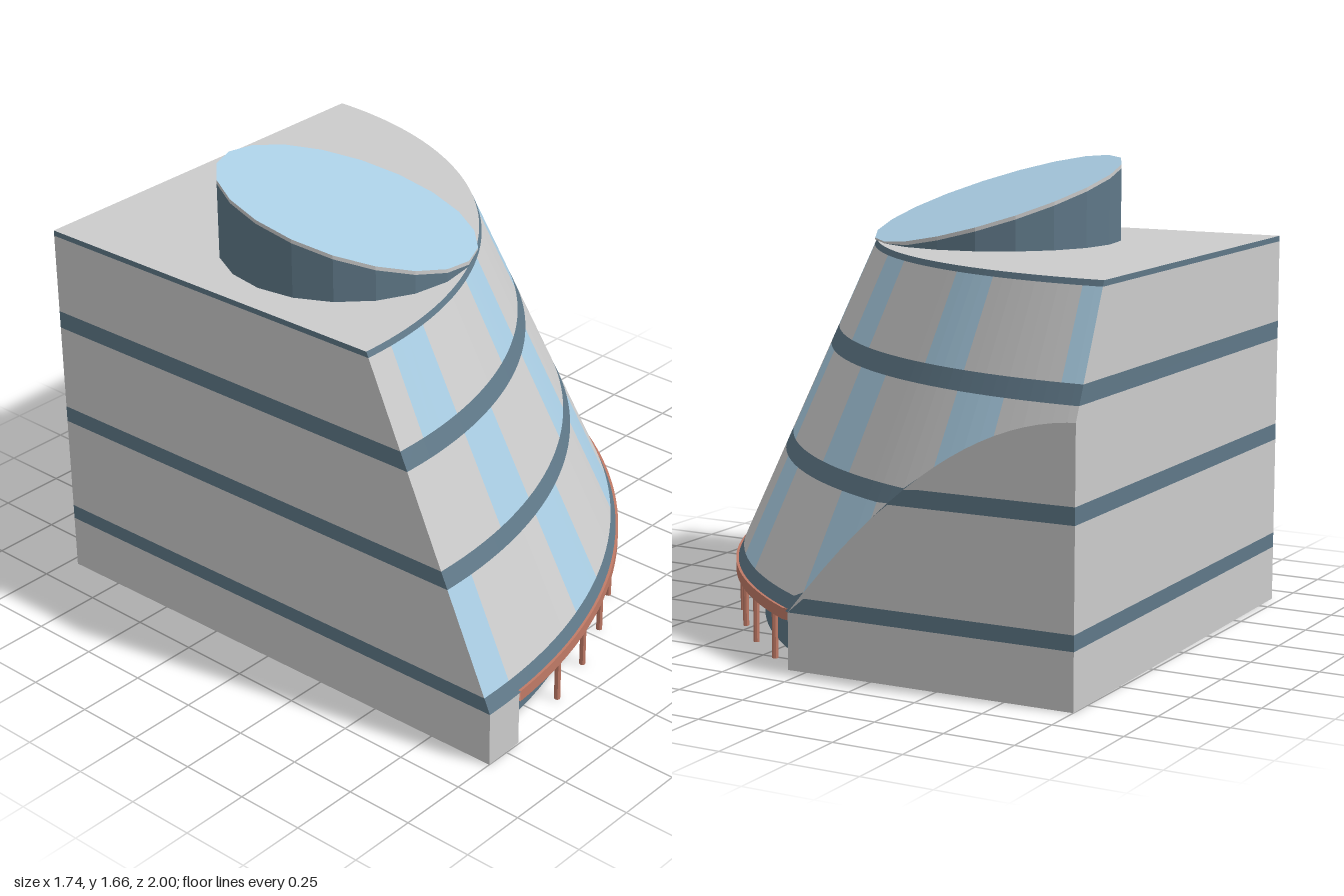
import * as THREE from 'three';

const CX = -0.82, CZ = -1;                 // axis of the quarter cone
const TOP = 1.37, EAVE = 0.2;
const CORNER = [-0.875, -0.965];           // rear corner where the two flat walls meet
const rad = THREE.MathUtils.degToRad;
const coneR = y => 2 - 0.52 * Math.max(0, y - EAVE) / (TOP - EAVE);
const wallR = a => 1.671 / (Math.sin(rad(a)) - 0.0175 * Math.cos(rad(a)));   // slicing side wall
const cutY = a => a < 57.6 ? EAVE : Math.max(EAVE, EAVE + (2 - wallR(a)) / 0.52 * (TOP - EAVE));
const polar = (a, r, y) => [CX + r * Math.sin(rad(a)), y, CZ + r * Math.cos(rad(a))];

const material = color => new THREE.MeshStandardMaterial({ color, flatShading: true, side: THREE.DoubleSide });

export function createModel() {
  const model = new THREE.Group();
  const mats = {
    grey: material(0xcccccc), slate: material(0x5f7888),
    glass: material(0xa9cde3), copper: material(0xc07a66),
  };
  const add = (name, geometry, mat) => {
    const mesh = new THREE.Mesh(geometry, mats[mat]);
    mesh.name = name;
    model.add(mesh);
    return mesh;
  };

  // Quads are gathered per part and turned into one mesh each
  const parts = {};
  const quad = (name, mat, a, b, c, d) => {
    const part = parts[name] ??= { mat, pos: [] };
    part.pos.push(...a, ...b, ...c, ...a, ...c, ...d);
  };

  // Storeys and slate bands from the ground up: [y0, y1, kind, glass offset]
  const levels = [
    [0, 0.2, 'Base'], [0.2, 0.255, 'Band'], [0.255, 0.61, 'Storey', 2],
    [0.61, 0.67, 'Band'], [0.67, 0.99, 'Storey', 1], [0.99, 1.055, 'Band'],
    [1.055, 1.35, 'Storey', 0], [1.35, TOP, 'Band'],
  ];

  // Angular divisions: four per window bay of seven degrees
  const START = 3.2, BAY = 7, SIDE = 57.67;
  const angles = [-0.8, 1.45, SIDE, 90];
  for (let a = START; a < 90; a += BAY / 4) angles.push(a);
  angles.sort((p, q) => p - q);

  // Left edge of the cone follows the slightly skewed left wall
  const leftEdge = y => [CX - 0.0556 + 0.0179 * coneR(y), y, CZ + coneR(y)];
  const conePoint = (i, y) => i === 0 ? leftEdge(y) : polar(angles[i], coneR(y), y);

  for (const [y0, y1, kind, offset] of levels) {
    const mat = kind === 'Band' ? 'slate' : 'grey';
    for (let i = 0; i < angles.length - 1; i++) {
      const a = angles[i], b = angles[i + 1], ca = cutY(a), cb = cutY(b);

      // Sloped curved facade above the cut
      if (y0 >= EAVE && (y1 > ca || y1 > cb)) {
        const cell = Math.floor(((a + b) / 2 - START) / BAY);
        const glazed = kind === 'Storey' && (cell - offset + 9) % 3 === 0;
        quad(glazed ? 'facadeGlass' : 'facade' + kind, glazed ? 'glass' : mat,
          conePoint(i, Math.max(y0, ca)), conePoint(i + 1, Math.max(y0, cb)),
          conePoint(i + 1, Math.max(y1, cb)), conePoint(i, Math.max(y1, ca)));
      }
      // Flat side wall below the cut
      if (a >= SIDE && (y0 < ca || y0 < cb)) {
        const p = (t, y) => polar(t, wallR(t), y);
        quad('sideWall' + kind, mat, p(a, Math.min(y0, ca)), p(b, Math.min(y0, cb)),
          p(b, Math.min(y1, cb)), p(a, Math.min(y1, ca)));
      }
    }

    // Flat left wall and back wall, split where the back edge starts to slope
    const knee = cutY(90);
    const steps = y0 < knee && y1 > knee ? [y0, knee, y1] : [y0, y1];
    const corner = y => [CORNER[0], y, CORNER[1]];
    const backEdge = y => [CX + Math.min(1.671, coneR(y)), y, CZ];
    for (let s = 0; s < steps.length - 1; s++) {
      const [lo, hi] = [steps[s], steps[s + 1]];
      quad('leftWall' + kind, mat, corner(lo), leftEdge(lo), leftEdge(hi), corner(hi));
      quad('backWall' + kind, mat, backEdge(lo), corner(lo), corner(hi), backEdge(hi));
    }
  }

  // Ground floor: solid end pier, then a recessed slate wall under the canopy
  const PIER = 4, INNER = 1.9;
  quad('endPier', 'grey', leftEdge(0), polar(PIER, 2, 0), polar(PIER, 2, EAVE), leftEdge(EAVE));
  quad('endPier', 'grey', polar(PIER, 2, 0), polar(PIER, INNER, 0), polar(PIER, INNER, EAVE), polar(PIER, 2, EAVE));
  const N = 32, END = 62.2;
  for (let i = 0; i < N; i++) {
    const a = PIER + (END - PIER) * i / N, b = PIER + (END - PIER) * (i + 1) / N;
    quad('recessedWall', 'slate', polar(a, INNER, 0), polar(b, INNER, 0), polar(b, INNER, EAVE), polar(a, INNER, EAVE));
    // Canopy: underside, fascia and top lip, trimmed by the side wall
    const ra = Math.min(2.005, wallR(a)), rb = Math.min(2.005, wallR(b));
    quad('canopy', 'copper', polar(b, INNER, 0.17), polar(b, rb, 0.17), polar(a, ra, 0.17), polar(a, INNER, 0.17));
    if (b < SIDE + 1) {
      quad('canopy', 'copper', polar(a, ra, 0.17), polar(b, rb, 0.17), polar(b, rb, 0.21), polar(a, ra, 0.21));
      quad('canopy', 'copper', polar(a, ra, 0.21), polar(b, rb, 0.21), polar(b, 1.98, 0.21), polar(a, 1.98, 0.21));
    }
  }
  for (let i = 0; i < 7; i++) {
    const post = add('canopyPost', new THREE.CylinderGeometry(0.011, 0.011, 0.17, 8), 'copper');
    post.position.set(...polar(12.5 + 6.74 * i, 1.98, 0.085));
  }

  for (const [name, { mat, pos }] of Object.entries(parts)) {
    const geometry = new THREE.BufferGeometry();
    geometry.setAttribute('position', new THREE.Float32BufferAttribute(pos, 3));
    geometry.computeVertexNormals();
    add(name, geometry, mat);
  }

  // Flat roof
  const outline = [new THREE.Vector2(CORNER[0], -CORNER[1])];
  angles.forEach((a, i) => {
    const p = conePoint(i, TOP);
    outline.push(new THREE.Vector2(p[0], -p[2]));
  });
  const roof = add('roof', new THREE.ShapeGeometry(new THREE.Shape(outline)).rotateX(-Math.PI / 2), 'grey');
  roof.position.y = TOP;

  // Rooftop drum cut by a tilted plane, with a thin rim and a glass top
  const slope = (x, z) => 1.518 - 0.225 * (x + z);
  const drumPart = (name, mat, low, high, open) => {
    const g = new THREE.CylinderGeometry(0.45, 0.45, 1, 20, 1, open);
    const p = g.attributes.position;
    for (let i = 0; i < p.count; i++) {
      const x = p.getX(i), z = p.getZ(i);
      p.setY(i, p.getY(i) > 0 ? high(x, z) : low(x, z));
    }
    g.computeVertexNormals();
    add(name, g, mat).position.set(-0.29, 0, -0.105);
  };
  const under = (x, z) => Math.max(TOP, slope(x, z) - 0.014);
  drumPart('drumWall', 'slate', () => TOP, under, true);
  drumPart('drumRim', 'grey', under, slope, true);
  const glass = new THREE.CircleGeometry(0.45, 20).rotateX(-Math.PI / 2).rotateY(Math.PI / 2);
  const gp = glass.attributes.position;
  for (let i = 0; i < gp.count; i++) gp.setY(i, slope(gp.getX(i), gp.getZ(i)));
  glass.computeVertexNormals();
  add('drumGlass', glass, 'glass').position.set(-0.29, 0, -0.105);

  return model;
}
